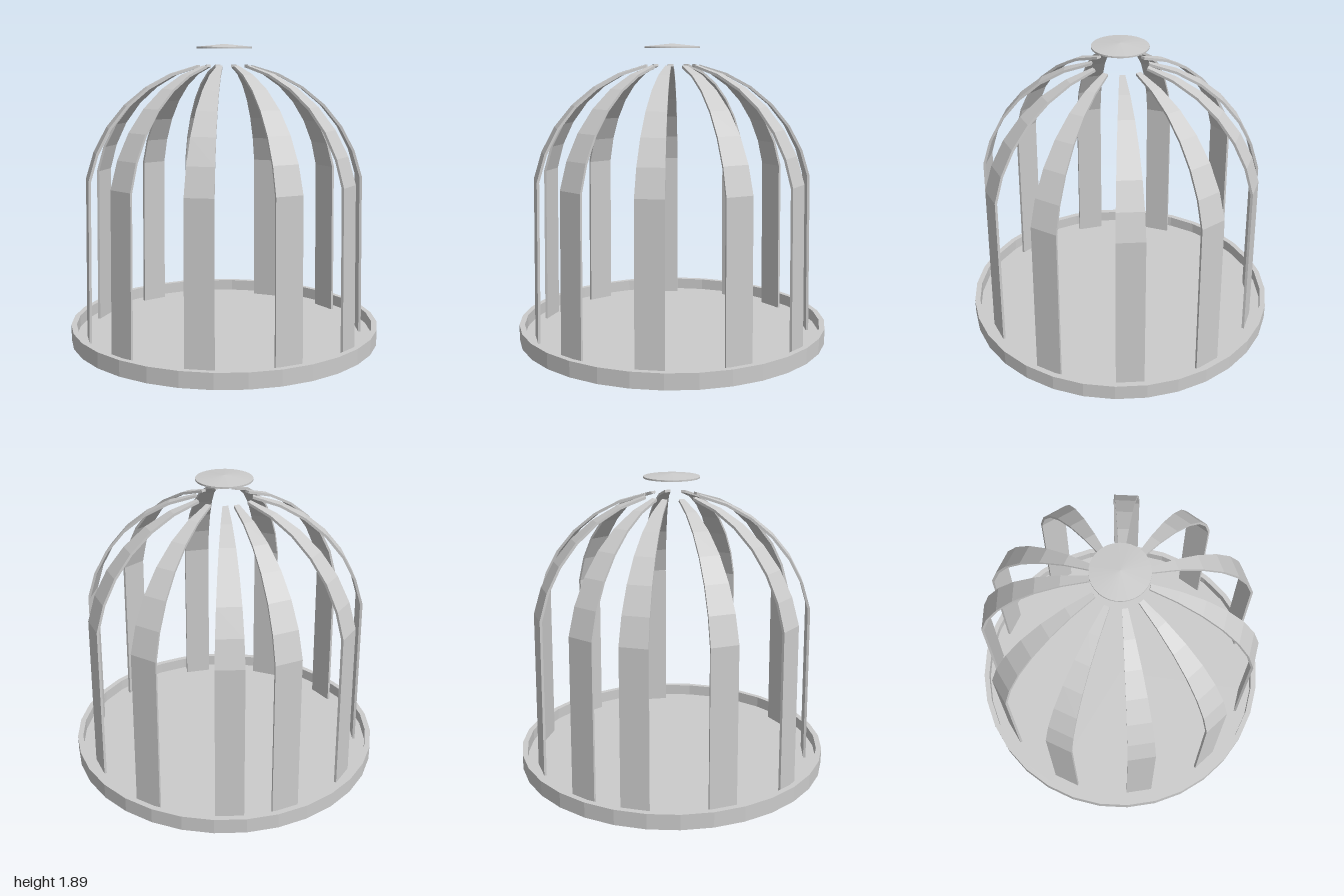
import * as THREE from 'three';
import { mergeGeometries } from 'three/addons/utils/BufferGeometryUtils.js';

const STEP = Math.PI / 16; // everything follows a 32-sided circle
const R = 0.9, CENTER_Y = 0.88, THICK = 0.016, FLOOR_Y = 0.025;

export function createModel() {
  const group = new THREE.Group();
  const mat = new THREE.MeshStandardMaterial({
    color: 0xcccccc, flatShading: true, side: THREE.DoubleSide,
  });
  const v = (x, y) => new THREE.Vector2(x, y);
  const add = (name, geometry) => {
    const mesh = new THREE.Mesh(geometry, mat);
    mesh.name = name;
    group.add(mesh);
    return mesh;
  };

  // Shallow tray: raised rim and a floor disc set just above its underside
  add('trayRim', new THREE.LatheGeometry(
    [v(0.965, 0), v(1, 0), v(1, 0.1), v(0.965, 0.1), v(0.965, 0)], 32));
  add('trayFloor', new THREE.LatheGeometry(
    [v(0, 0.005), v(0.965, 0.005), v(0.965, FLOOR_Y), v(0, FLOOR_Y)], 32));

  // Rib section: nearly upright wall running into a dome arc
  const arc = (r) => {
    const pts = [v(r, FLOOR_Y)];
    for (let i = 1; i <= 7; i++) {
      pts.push(v(r * Math.cos(i * STEP), CENTER_Y + r * Math.sin(i * STEP)));
    }
    return pts;
  };
  const section = [...arc(R), ...arc(R - THICK).reverse()];
  const side = new THREE.ShapeGeometry(new THREE.Shape(section));

  // One wedge rib: a single lathe step closed by two flat sides
  const ribGeometry = mergeGeometries([
    new THREE.LatheGeometry([...section, section[0]], 1, Math.PI / 2 - STEP, STEP),
    side,
    side.clone().rotateY(-STEP),
  ]);
  [0, 3, 6, 9, 12, 15, 18, 20, 23, 26, 29].forEach((slot, i) => {
    add('rib' + (i + 1), ribGeometry).rotation.y = -slot * STEP;
  });

  // Thin domed cap floating over the opening
  const capR = R * Math.sin(STEP);
  add('topCap', new THREE.LatheGeometry(
    [v(0, 1.867), v(capR, 1.867), v(capR, 1.877), v(0, 1.895)], 32));

  return group;
}
